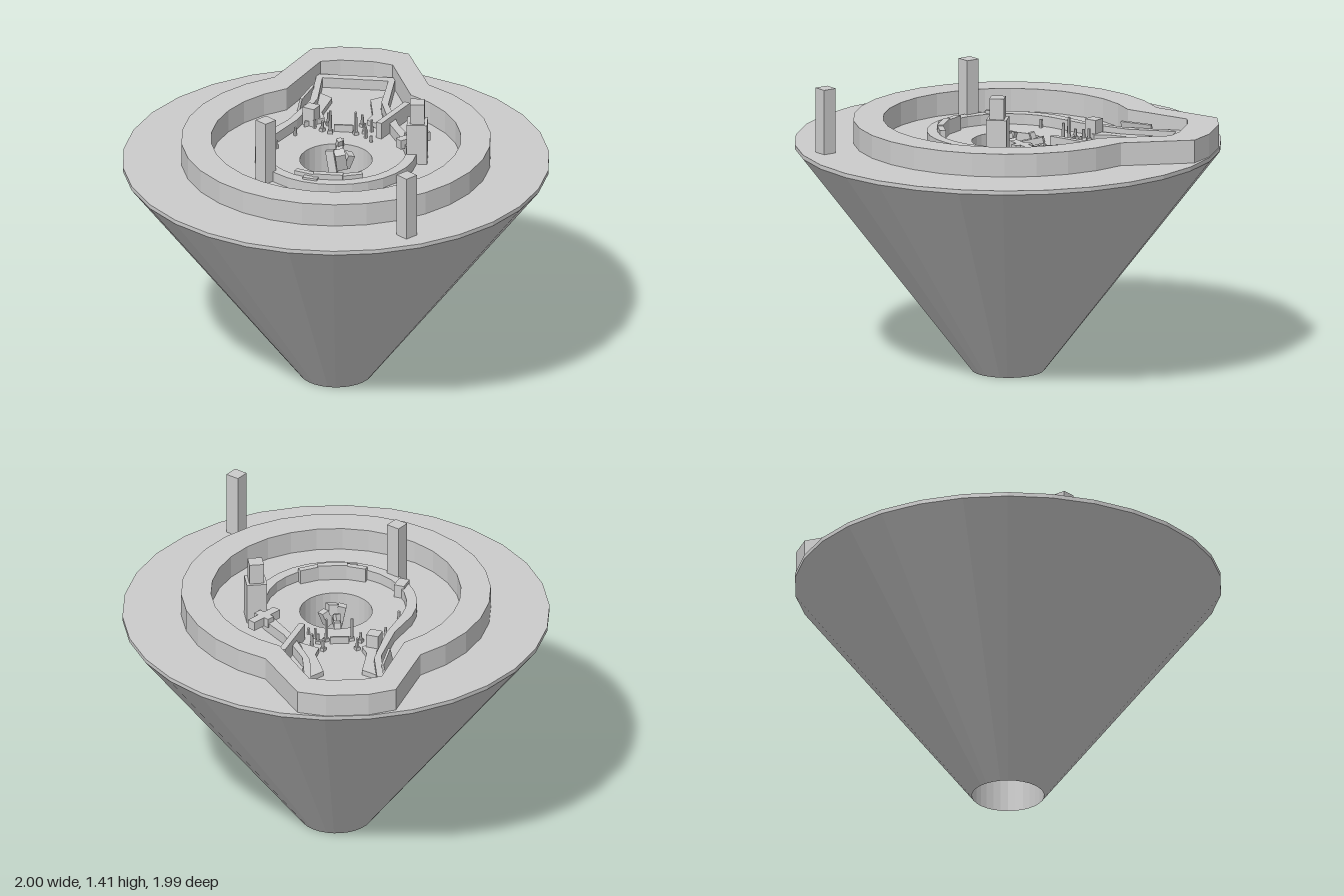
import * as THREE from 'three';

const GROUND = 1.10;
const material = new THREE.MeshStandardMaterial({ color: 0xcccccc, flatShading: true, side: THREE.DoubleSide });

export function createModel() {
  const model = new THREE.Group();

  const add = (name, geometry) => {
    const mesh = new THREE.Mesh(geometry, material);
    mesh.name = name;
    model.add(mesh);
    return mesh;
  };
  // Box standing at height y, turned about the vertical, optionally tilted
  const box = (name, [w, h, d], [x, y, z], turn = 0, tiltX = 0, tiltZ = 0) => {
    const mesh = add(name, new THREE.BoxGeometry(w, h, d));
    mesh.position.set(x, y + h / 2, z);
    mesh.rotation.set(tiltX, turn, tiltZ, 'YXZ');
    return mesh;
  };
  // Plan outline in (x, z): an arc round the front closed by mirrored back points
  const outline = (r, end, back) => {
    const pts = [];
    for (let a = -end; a <= 180 + end; a += 12) {
      const t = THREE.MathUtils.degToRad(a);
      pts.push([r * Math.cos(t), r * Math.sin(t)]);
    }
    back.forEach(([x, z]) => pts.push([-x, z]));
    [...back].reverse().forEach(p => pts.push(p));
    return pts.map(([x, z]) => new THREE.Vector2(x, -z));
  };
  const slab = (name, outer, height, inner) => {
    const shape = new THREE.Shape(outer);
    if (inner) shape.holes.push(new THREE.Path(inner));
    const g = new THREE.ExtrudeGeometry(shape, { depth: height, bevelEnabled: false });
    g.rotateX(-Math.PI / 2);
    g.translate(0, GROUND, 0);
    return add(name, g);
  };

  // Inverted cone with a rim, a flat top and an open central shaft
  const profile = [[0.17, 0], [1, 1.08], [1, GROUND], [0.17, GROUND], [0.17, 0]];
  add('coneBase', new THREE.LatheGeometry(profile.map(p => new THREE.Vector2(...p)), 30, Math.PI / 30));

  // Thick outer wall, drawn out to the rear rim
  slab('outerWall',
    outline(0.725, 60, [[0.23, -0.95], [0.1, -0.99]]), 0.11,
    outline(0.585, 60, [[0.17, -0.82], [0.08, -0.845]]));

  // Low inner wall with a rectangular rear bay
  slab('innerWall',
    outline(0.38, 24, [[0.26, -0.3], [0.185, -0.52], [0.185, -0.81]]), 0.05,
    outline(0.33, 24, [[0.22, -0.3], [0.15, -0.54], [0.155, -0.77]]));

  // Flared walls lining both sides of the rear passage
  for (const s of [1, -1]) {
    const pts = [[0.155, -0.66], [0.09, -0.61], [0.12, -0.45], [0.10, -0.39], [0.19, -0.33], [0.15, -0.52]];
    slab('passageLining', pts.map(([x, z]) => new THREE.Vector2(s * x, -z)), 0.025);
  }
  box('leaningPlate', [0.012, 0.07, 0.16], [-0.21, GROUND, -0.57], -0.25, 0, -0.2);
  box('passagePier', [0.06, 0.09, 0.06], [-0.16, GROUND, -0.375], -0.4);
  box('raisedWall', [0.03, 0.08, 0.26], [0.225, GROUND, -0.37], -0.42);

  // Square pillars
  for (const [x, z] of [[-0.3, 0.26], [0.425, 0.775]]) {
    box('pillar', [0.067, 0.31, 0.067], [x, GROUND, z], Math.PI / 4 + 0.08);
  }

  // Stepped tower beside the inner wall, with crossed beams behind it
  box('towerBase', [0.096, 0.2, 0.096], [0.378, GROUND, -0.04], 0.08);
  box('towerTop', [0.068, 0.1, 0.068], [0.378, 1.3, -0.04], 0.08);
  box('crossBeam', [0.17, 0.045, 0.04], [0.345, 1.13, -0.15], 0.74);
  box('crossBeam', [0.09, 0.045, 0.04], [0.345, 1.13, -0.15], -0.83);

  // Raised blocks along the front of the inner wall
  box('frontBlock', [0.14, 0.075, 0.03], [0, GROUND, 0.31]);
  for (const s of [1, -1]) box('frontBlock', [0.1, 0.07, 0.028], [s * 0.11, GROUND, 0.293], s * 0.35);
  box('sideBlock', [0.05, 0.065, 0.07], [-0.315, GROUND, 0.14], -0.42);
  box('fallenBlock', [0.07, 0.06, 0.035], [-0.08, GROUND, 0.325], -0.2);

  // Low screen and small posts between the shaft and the rear passage
  box('screen', [0.09, 0.035, 0.01], [0, GROUND, -0.305]);
  const posts = [[-0.06, -0.28, 0.115], [0.06, -0.28, 0.115], [-0.1, -0.3, 0.05], [0.1, -0.3, 0.05],
    [-0.08, -0.37, 0.06], [0.08, -0.37, 0.06], [-0.14, -0.33, 0.04], [0.13, -0.32, 0.06],
    [0.14, -0.21, 0.03], [-0.22, -0.24, 0.04], [-0.29, -0.09, 0.04], [0.11, -0.25, 0.05]];
  posts.forEach(([x, z, h], i) => {
    const post = add('post', new THREE.CylinderGeometry(0.007, 0.009, h, 6));
    post.position.set(x, GROUND + h / 2, z);
    if (i < 6) box('postFoot', [0.022, 0.016, 0.022], [x, GROUND, z], i * 0.5);
  });

  // Jumble of tilted blocks and a beam hanging in the shaft mouth
  box('shaftBeam', [0.03, 0.03, 0.17], [0.005, 1.08, -0.09], 0.03, 0.25);
  box('shaftBlock', [0.05, 0.09, 0.05], [0.02, 1.05, -0.01], 0.3, 0.25, 0.15);
  box('shaftBlock', [0.04, 0.11, 0.03], [-0.02, 1.03, -0.01], -0.2, -0.1, 0.2);
  box('shaftBlock', [0.035, 0.07, 0.045], [0.05, 1.05, -0.035], 0.5, 0.2, -0.3);
  box('shaftBlock', [0.025, 0.08, 0.025], [0, 1.07, -0.125], 0.6, 0.3, 0.1);

  return model;
}
